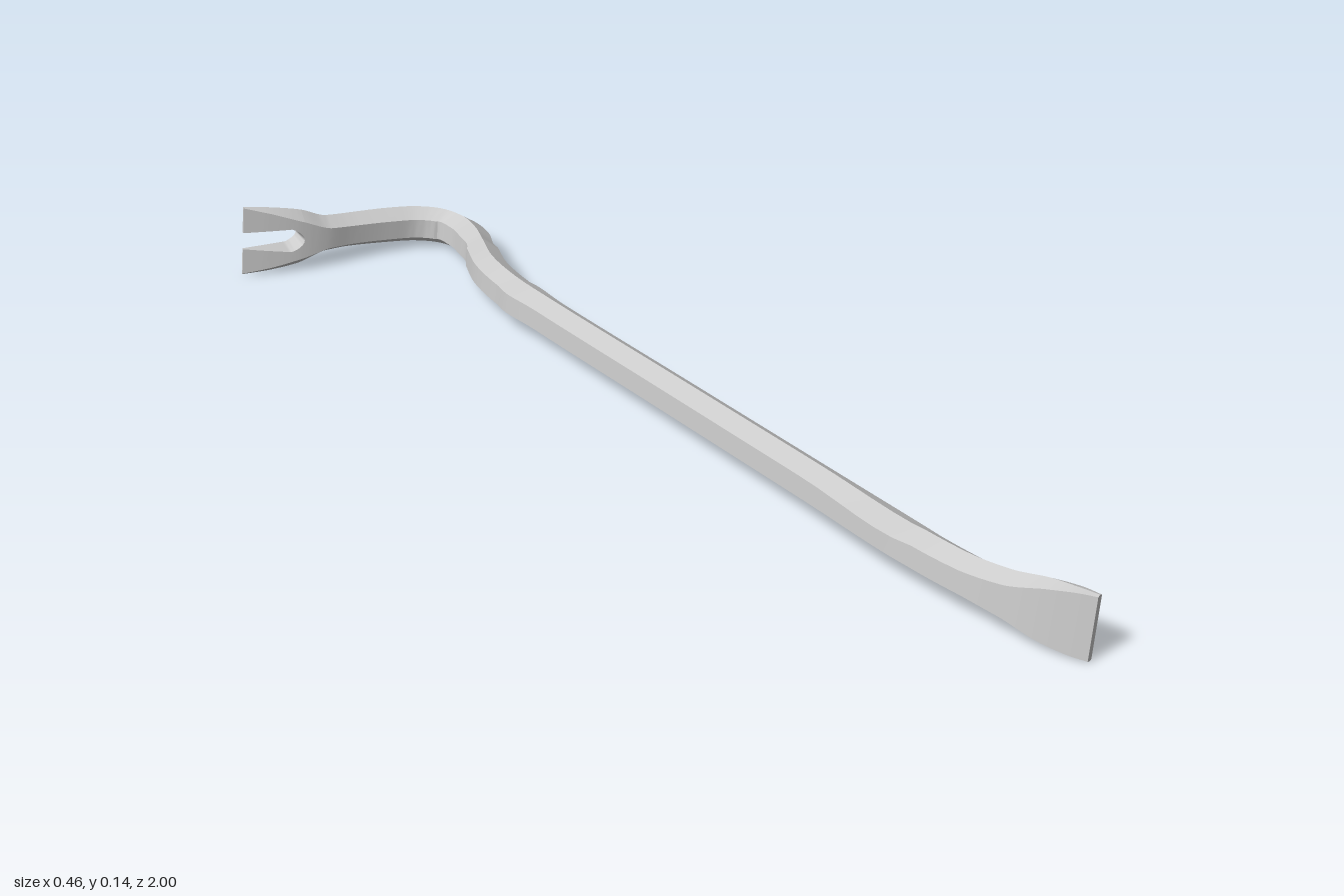
import * as THREE from 'three';
import { toCreasedNormals } from 'three/addons/utils/BufferGeometryUtils.js';

// Stations from chisel edge to claw tips:
// x, z, half thickness, half height, half height of the flat side
const STATIONS = [
  [0.175, 1.0, 0.006, 0.058, 0.056],
  [0.165, 0.97, 0.013, 0.058, 0.054],
  [0.149, 0.92, 0.022, 0.056, 0.045],
  [0.132, 0.86, 0.027, 0.045, 0.028],
  [0.118, 0.78, 0.031, 0.038, 0.02],
  [0.11, 0.68, 0.033, 0.037, 0.019],
  [0.11, 0.4, 0.033, 0.037, 0.019],
  [0.11, 0, 0.033, 0.037, 0.019],
  [0.11, -0.4, 0.033, 0.037, 0.019],
  [0.114, -0.53, 0.033, 0.037, 0.019],
  [0.132, -0.64, 0.032, 0.037, 0.019],
  [0.162, -0.72, 0.031, 0.037, 0.019],
  [0.187, -0.79, 0.031, 0.037, 0.019],
  [0.196, -0.85, 0.031, 0.037, 0.019],
  [0.18, -0.905, 0.031, 0.037, 0.019],
  [0.14, -0.938, 0.032, 0.037, 0.019],
  [0.08, -0.955, 0.033, 0.037, 0.019],
  [0.0, -0.966, 0.033, 0.036, 0.019],
  [-0.055, -0.968, 0.032, 0.038, 0.021],
  [-0.106, -0.973, 0.026, 0.056, 0.038],
  [-0.165, -0.984, 0.015, 0.066, 0.056],
  [-0.221, -0.997, 0.003, 0.071, 0.069],
];
const LAST = STATIONS.length - 1;
const CROTCH = LAST - 2; // station where the claw splits

const path = new THREE.CatmullRomCurve3(STATIONS.map(([x, z]) => new THREE.Vector3(x, 0, z)));
const sizes = new THREE.CatmullRomCurve3(STATIONS.map(([, , t, h, s]) => new THREE.Vector3(t, h, s)));

// Ring of points at a station; profile(size) gives [outward, up] pairs
function ring(station, profile) {
  const k = station / LAST;
  const c = path.getPoint(k);
  const dir = path.getPoint(Math.min(1, k + 0.001)).sub(path.getPoint(Math.max(0, k - 0.001))).normalize();
  return profile(sizes.getPoint(k)).map(([a, b]) => {
    const x = c.x - dir.z * a, z = c.z + dir.x * a;
    // the whole bar rests slightly rolled and pitched
    return [x + 0.09 * b, b + 0.058 + 0.01 * z - 0.09 * (x - 0.11), z];
  });
}

// Skin a list of rings, with optional end caps
function loft(name, rings, capStart, capEnd) {
  const n = rings[0].length, pos = [];
  const tri = (...points) => points.forEach((p) => pos.push(...p));
  for (let i = 0; i < rings.length - 1; i++) {
    const p = rings[i], q = rings[i + 1];
    for (let j = 0; j < n; j++) {
      const m = (j + 1) % n;
      tri(p[j], q[j], q[m]);
      tri(p[j], q[m], p[m]);
    }
  }
  const first = rings[0], end = rings[rings.length - 1];
  for (let j = 1; j < n - 1; j++) {
    if (capStart) tri(first[0], first[j], first[j + 1]);
    if (capEnd) tri(end[0], end[j + 1], end[j]);
  }
  const geo = new THREE.BufferGeometry();
  geo.setAttribute('position', new THREE.Float32BufferAttribute(pos, 3));
  const mesh = new THREE.Mesh(toCreasedNormals(geo, 0.5), new THREE.MeshStandardMaterial({ color: 0xcccccc }));
  mesh.name = name;
  return mesh;
}

export function createModel() {
  const group = new THREE.Group();
  group.name = 'pryBar';

  // Hexagonal shaft with chisel end and hooked neck
  const hexagon = ({ x: t, y: h, z: s }) => [[t, -s], [t, s], [0, h], [-t, s], [-t, -s], [0, -h]];
  const shaftRings = [];
  for (let i = 0; i <= CROTCH * 6; i++) shaftRings.push(ring(i / 6, hexagon));
  group.add(loft('shaft', shaftRings, true, false));

  // Two claw tines with a rounded, bevelled slot between them
  for (const side of [1, -1]) {
    const rings = [];
    for (let i = 0; i <= 20; i++) {
      const u = (i / 20) ** 2;
      const gap = 0.017 * Math.sqrt(Math.min(1, u * 5));
      const bevel = gap * (1 + 0.5 * (1 - u));
      rings.push(ring(CROTCH + 2 * u, ({ x: t, y: h, z: s }) => {
        const half = [[t, s], [0, h], [-t, s], [-t, bevel], [t, gap]].map(([a, b]) => [a, b * side]);
        return side > 0 ? half : half.reverse();
      }));
    }
    group.add(loft(side > 0 ? 'upperClawTine' : 'lowerClawTine', rings, false, true));
  }
  return group;
}
